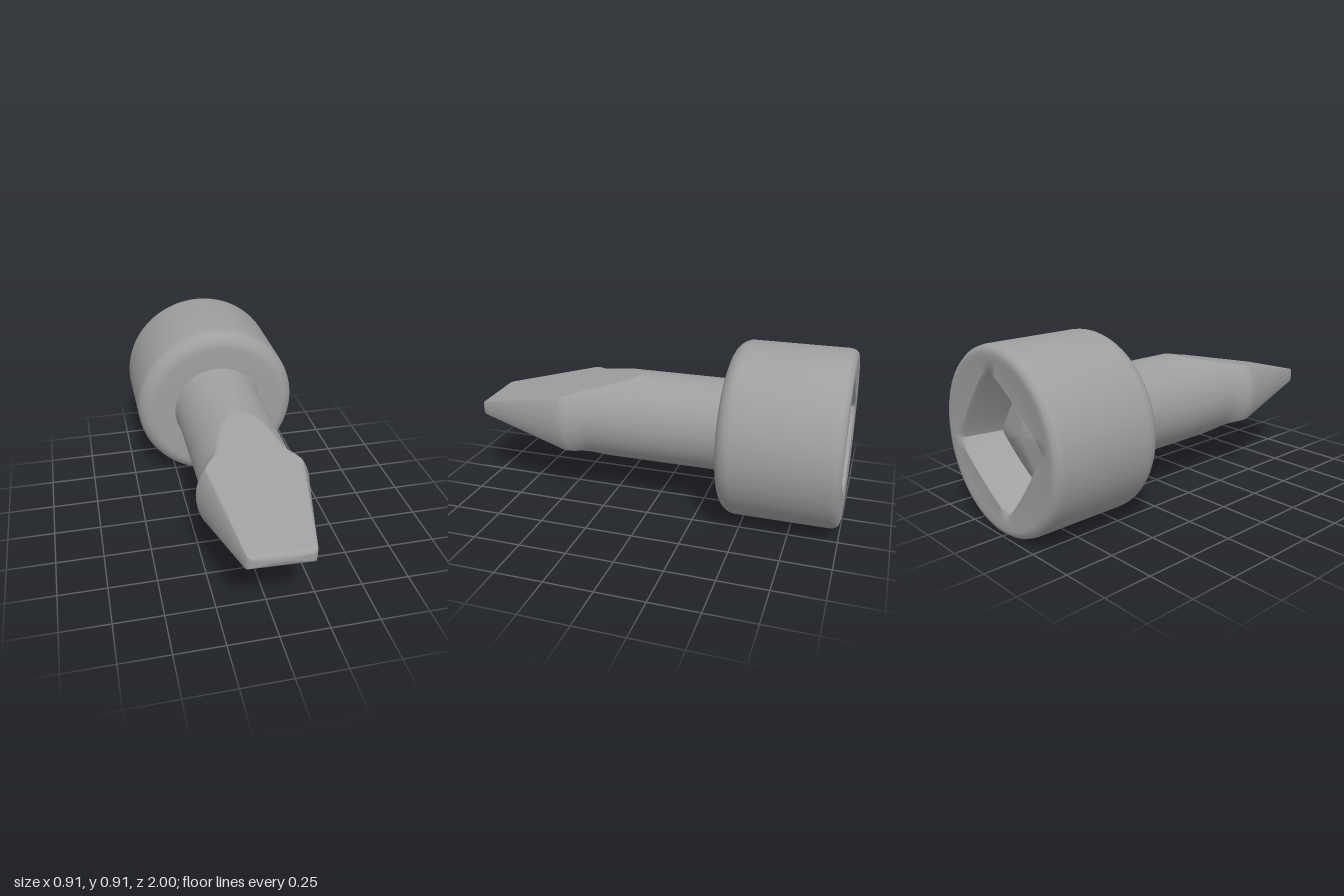
import * as THREE from 'three';
import { toCreasedNormals } from 'three/addons/utils/BufferGeometryUtils.js';

const AXIS_Y = 0.463;
const material = new THREE.MeshStandardMaterial({ color: 0x9f9f9f });

// Skin a list of closed rings (arrays of [x, y, z], counter-clockwise seen from +z)
function loft(name, rings, crease) {
  const n = rings[0].length;
  const index = [];
  for (let i = 0; i < rings.length - 1; i++) {
    for (let j = 0; j < n; j++) {
      const a = i * n + j, b = i * n + (j + 1) % n;
      index.push(a, b, b + n, a, b + n, a + n);
    }
  }
  const geometry = new THREE.BufferGeometry();
  geometry.setAttribute('position', new THREE.Float32BufferAttribute(rings.flat(2), 3));
  geometry.setIndex(index);
  const mesh = new THREE.Mesh(toCreasedNormals(geometry, crease), material);
  mesh.name = name;
  return mesh;
}

// Ring whose radius is a function of the angle
function polarRing(z, radius, n = 96) {
  return Array.from({ length: n }, (_, j) => {
    const t = (j / n) * Math.PI * 2;
    const r = radius(t);
    return [r * Math.cos(t), r * Math.sin(t), z];
  });
}

// Circle of radius r cut flat at y = +h and y = -h
function cutRing(z, r, h, n = 36) {
  const t = Math.asin(Math.min(1, h / r));
  const x = r * Math.cos(t), y = r * Math.sin(t);
  const ring = [];
  for (const side of [1, -1]) {
    for (let j = 0; j < n; j++) {
      const a = -t + (2 * t * j) / n;
      ring.push([side * r * Math.cos(a), side * r * Math.sin(a), z]);
    }
    for (let j = 0; j < n; j++) ring.push([side * x * (1 - (2 * j) / n), side * y, z]);
  }
  return ring;
}

// Linear lookup in a list of [z, value]
function sample(points, z) {
  for (let i = 1; i < points.length; i++) {
    const [z0, v0] = points[i - 1], [z1, v1] = points[i];
    if (z <= z1) return v0 + ((v1 - v0) * (z - z0)) / (z1 - z0);
  }
  return points[points.length - 1][1];
}

function createHead() {
  const square = (size) => (t) =>
    size / (Math.abs(Math.cos(t)) ** 1.12 + Math.abs(Math.sin(t)) ** 1.12) ** (1 / 1.12);
  // Socket: slightly domed floor, then the four sloping walls out to the back face
  const rings = [
    polarRing(-0.87, () => 0),
    polarRing(-0.84, square(0.15)),
    polarRing(-0.80, square(0.27)),
    polarRing(-0.98, square(0.335)),
    polarRing(-0.995, square(0.35)),
  ];
  const circle = (z, r) => rings.push(polarRing(z, () => r));
  // Back rim and outer wall
  circle(-0.995, 0.39);
  circle(-1, 0.415);
  circle(-0.995, 0.438);
  circle(-0.975, 0.453);
  circle(-0.95, 0.457);
  // Rounded front shoulder
  const fillet = 0.085;
  for (let i = 0; i <= 8; i++) {
    const a = (i / 8) * Math.PI / 2;
    circle(-0.39 - fillet + fillet * Math.sin(a), 0.457 - fillet + fillet * Math.cos(a));
  }
  circle(-0.39, 0.22);
  const head = loft('socketHead', rings, 0.9);
  head.rotation.z = -0.16;
  return head;
}

function createBlade() {
  // Radius along the axis: shaft, flared shoulder, tapered sides
  const radius = [[-0.42, 0.258], [-0.385, 0.25], [-0.36, 0.244], [0.35, 0.244], [0.39, 0.253],
    [0.43, 0.274], [0.455, 0.284], [0.475, 0.285], [0.5, 0.278], [0.97, 0.168], [0.99, 0.16], [1, 0.145]];
  // Half height of the two flats that form the wedge
  const flat = [[-0.42, 0.3], [0.1, 0.244], [0.46, 0.155], [0.975, 0.038], [0.99, 0.033], [1, 0.022]];
  const stops = new Set([...radius, ...flat].map((p) => p[0]));
  for (let i = 1; i <= 12; i++) stops.add(0.1 + 0.02 * i);
  const rings = [...stops].sort((a, b) => a - b)
    .map((z) => cutRing(z, sample(radius, z), sample(flat, z)));
  rings.push(rings[0].map(() => [0, 0, 1]));
  const blade = loft('shaftAndBlade', rings, 1.2);
  blade.rotation.z = -0.035;
  return blade;
}

export function createModel() {
  const model = new THREE.Group();
  model.name = 'driverBit';
  const parts = new THREE.Group();
  parts.name = 'bitOnAxis';
  parts.position.y = AXIS_Y;
  parts.add(createHead(), createBlade());
  model.add(parts);
  return model;
}
